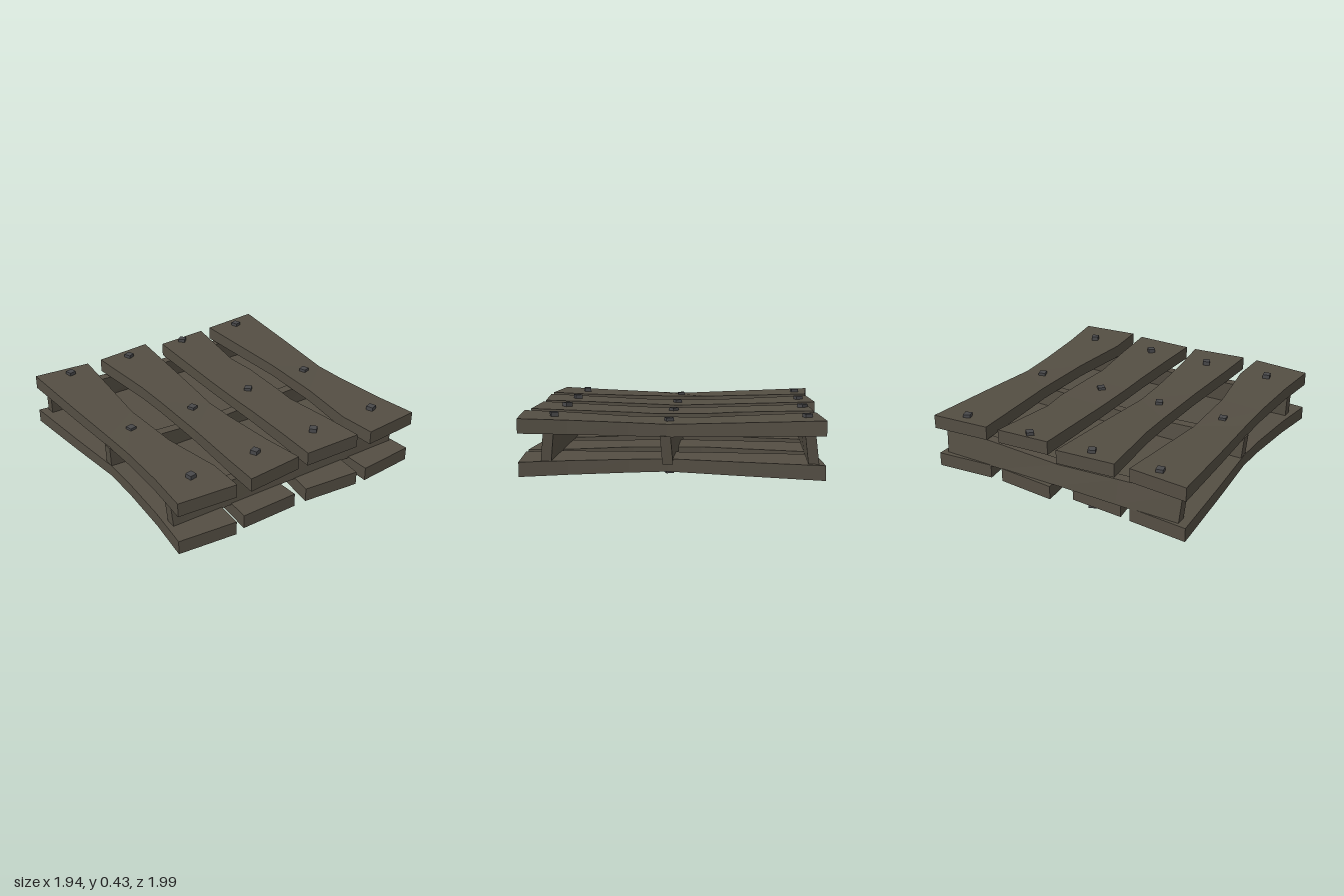
import * as THREE from 'three';

const wood = new THREE.MeshStandardMaterial({ color: 0x544e43, flatShading: true });
const iron = new THREE.MeshStandardMaterial({ color: 0x48484a, flatShading: true });

// Move every vertex of a geometry by a rule.
function reshape(geometry, rule) {
  const p = geometry.attributes.position;
  for (let i = 0; i < p.count; i++) p.setXYZ(i, ...rule(p.getX(i), p.getY(i), p.getZ(i)));
  geometry.computeVertexNormals();
  return geometry;
}

// Warped plank: outlines are [x, z] points from back to front; ends flare away from the middle.
function plank(name, left, right, isTop) {
  const n = left.length - 1;
  const geometry = reshape(new THREE.BoxGeometry(1, 1, 1, 1, 1, n), (x, y, z) => {
    const [px, pz] = (x < 0 ? left : right)[Math.round((z + 0.5) * n)];
    const bend = Math.abs(pz);
    const outer = 0.378 + 0.038 * bend;
    const inner = 0.295 + 0.024 * bend;
    const h = (y > 0) === isTop ? outer : inner;
    return [px, isTop ? h : 0.448 - h, pz];
  });
  const mesh = new THREE.Mesh(geometry, wood);
  mesh.name = name;
  return mesh;
}

const mirror = (line) => line.map(([x, z]) => [-x, z]);
const shift = (line, d) => line.map(([x, z]) => [x + d, z]);

// Cross bar with a sagging top, a slight lean and a slight turn.
function bar(name, z0, lean, turn, top, bottom) {
  const geometry = reshape(new THREE.BoxGeometry(1.84, 1, 0.068, 4, 1, 1), (x, y, z) => {
    const t = 1 - Math.abs(x) / 0.92;
    return [
      y > 0 ? x : x * 0.985,
      y > 0 ? top - 0.045 * t : bottom + 0.01 * t,
      z0 + z + lean * y + turn * x,
    ];
  });
  const mesh = new THREE.Mesh(geometry, wood);
  mesh.name = name;
  return mesh;
}

export function createModel() {
  const model = new THREE.Group();
  model.name = 'pallet';

  // Plank edges
  const outer = [[-0.97, -1], [-0.94, -0.45], [-0.91, 0], [-0.91, 0.25], [-0.93, 0.64], [-0.963, 0.955]];
  const inner = [[-0.555, -0.965], [-0.595, -0.45], [-0.615, -0.2], [-0.6, 0.27], [-0.537, 0.72], [-0.55, 0.99]];
  const wavy = [[0.465, -0.955], [0.41, -0.45], [0.437, -0.24], [0.43, 0.1], [0.41, 0.29], [0.44, 0.65], [0.455, 0.965]];
  const plain = [[0.085, -0.93], [0.085, -0.45], [0.085, -0.24], [0.085, 0.1], [0.08, 0.29], [0.06, 0.65], [0.038, 0.957]];
  const second = [[-0.445, -0.965], [-0.39, -0.45], [-0.38, -0.2], [-0.39, 0.27], [-0.425, 0.72], [-0.44, 0.99]];

  // Top deck
  model.add(
    plank('topPlankRight', outer, inner, true),
    plank('topPlankInnerRight', second, shift(mirror(outer), -1), true),
    plank('topPlankInnerLeft', plain, wavy, true),
    plank('topPlankLeft', mirror(inner), mirror(outer), true),
  );

  // Bottom deck
  model.add(
    plank('bottomPlankRight', outer, inner, false),
    plank('bottomPlankInnerRight', shift(mirror(wavy), -0.02), shift(mirror(plain), -0.02), false),
    plank('bottomPlankInnerLeft', shift(outer, 1), shift(inner, 1), false),
    plank('bottomPlankLeft', shift(mirror(inner), -0.02), shift(mirror(outer), -0.02), false),
  );

  // Cross bars
  model.add(
    bar('backBar', -0.92, 0.025, 0.005, 0.32, 0.12),
    bar('middleBar', -0.005, 0.015, 0.013, 0.302, 0.12),
    bar('frontBar', 0.77, -0.02, 0.004, 0.322, 0.12),
  );

  // Square bolt heads above and below each joint
  const bolts = new THREE.Group();
  bolts.name = 'bolts';
  const head = new THREE.BoxGeometry(0.05, 0.06, 0.05);
  const columns = [[-0.735, 0.2], [-0.237, 0.42], [0.247, 0.78], [0.765, 0.35]];
  const rows = [[-0.893, 0.435, 0.005], [0, 0.403, 0.04], [0.75, 0.435, 0.018]];
  for (const [x, angle] of columns) {
    for (const [z, top, bottom] of rows) {
      for (const y of [top - 0.03, bottom + 0.03]) {
        const bolt = new THREE.Mesh(head, iron);
        bolt.name = 'bolt';
        bolt.position.set(x, y, z);
        bolt.rotation.y = angle;
        bolts.add(bolt);
      }
    }
  }
  model.add(bolts);
  return model;
}
